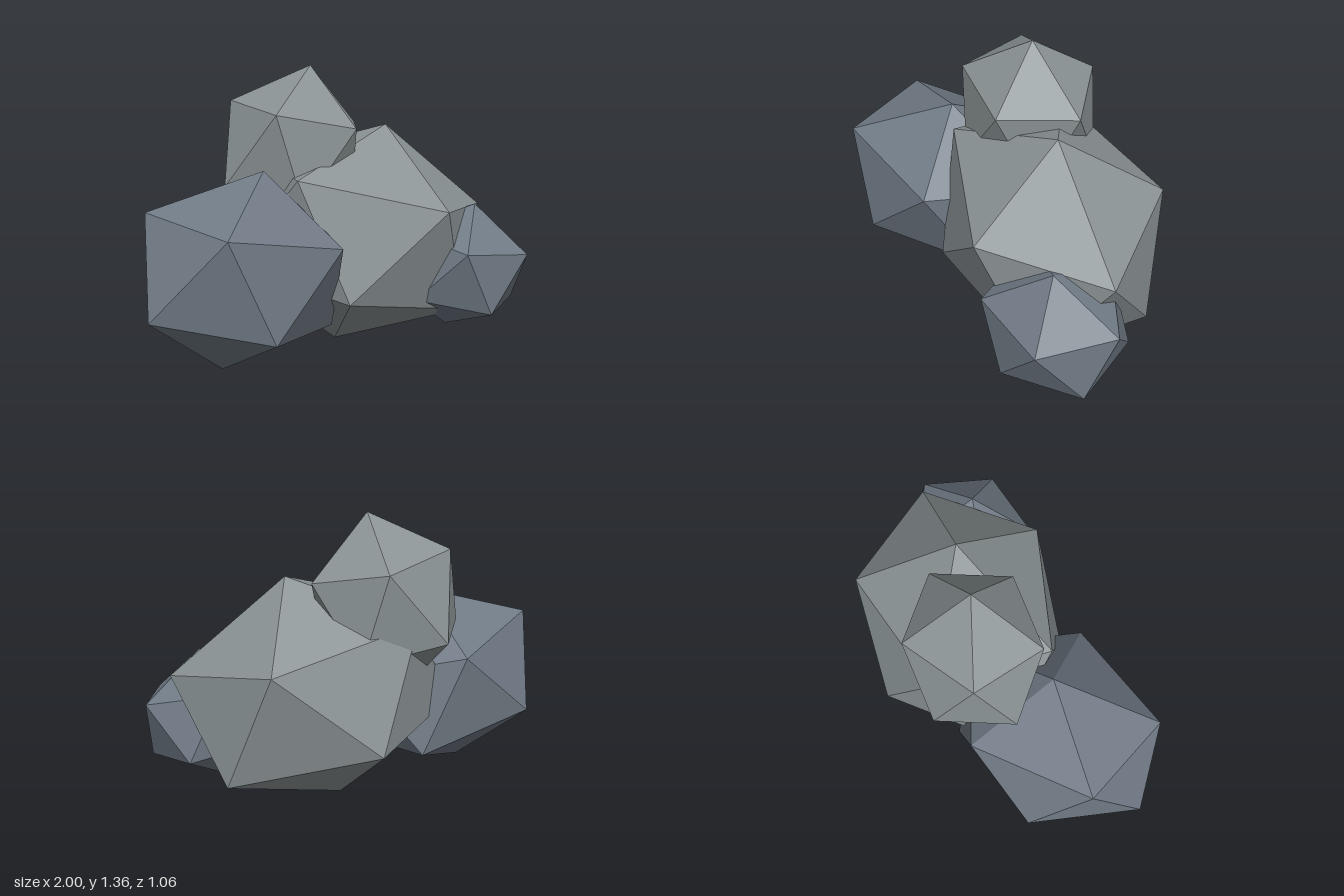
import * as THREE from 'three';

// Each boulder is a skewed icosahedron, fixed by its centre and three
// corners of one face (anticlockwise seen from outside).
const BOULDERS = [
  { name: 'mainBoulder', color: 0x8a9294, center: [0.2425, 0.5435, -0.02],
    face: [[0.355, 1.08, 0.03], [0.38, 0.72, 0.49], [0.885, 0.645, 0.12]] },
  { name: 'rightBoulder', color: 0x707a85, center: [-0.475, 0.48, 0.0875],
    face: [[-0.375, 0.93, 0.11], [-0.9, 0.785, 0.005], [-0.75, 0.73, 0.47]] },
  { name: 'smallLeftBoulder', color: 0x707a85, center: [0.66, 0.3825, 0.2525],
    face: [[0.7, 0.695, 0.305], [0.86, 0.46, 0.515], [0.995, 0.495, 0.18]] },
  { name: 'topBoulder', color: 0x8a9294, center: [-0.08, 0.954, -0.132],
    face: [[0, 1.37, -0.09], [0.085, 1.09, 0.17], [0.29, 1.08, -0.145]] },
];

// Matrix carrying the three basis corners, with an optional origin
function basis(a, b, c, origin = new THREE.Vector3()) {
  return new THREE.Matrix4().makeBasis(a, b, c).setPosition(origin);
}

function makeBoulder({ name, color, center, face }) {
  const geometry = new THREE.IcosahedronGeometry(1, 0);
  const pos = geometry.getAttribute('position');
  const source = [0, 1, 2].map((i) => new THREE.Vector3().fromBufferAttribute(pos, i));
  const c = new THREE.Vector3(...center);
  const target = face.map((p) => new THREE.Vector3(...p).sub(c));

  // Map the regular solid's first face onto the chosen one
  geometry.applyMatrix4(basis(...target, c).multiply(basis(...source).invert()));
  geometry.computeVertexNormals();

  const material = new THREE.MeshStandardMaterial({ color, flatShading: true });
  const mesh = new THREE.Mesh(geometry, material);
  mesh.name = name;
  return mesh;
}

export function createModel() {
  const group = new THREE.Group();
  group.name = 'rockPile';
  for (const boulder of BOULDERS) group.add(makeBoulder(boulder));
  return group;
}
